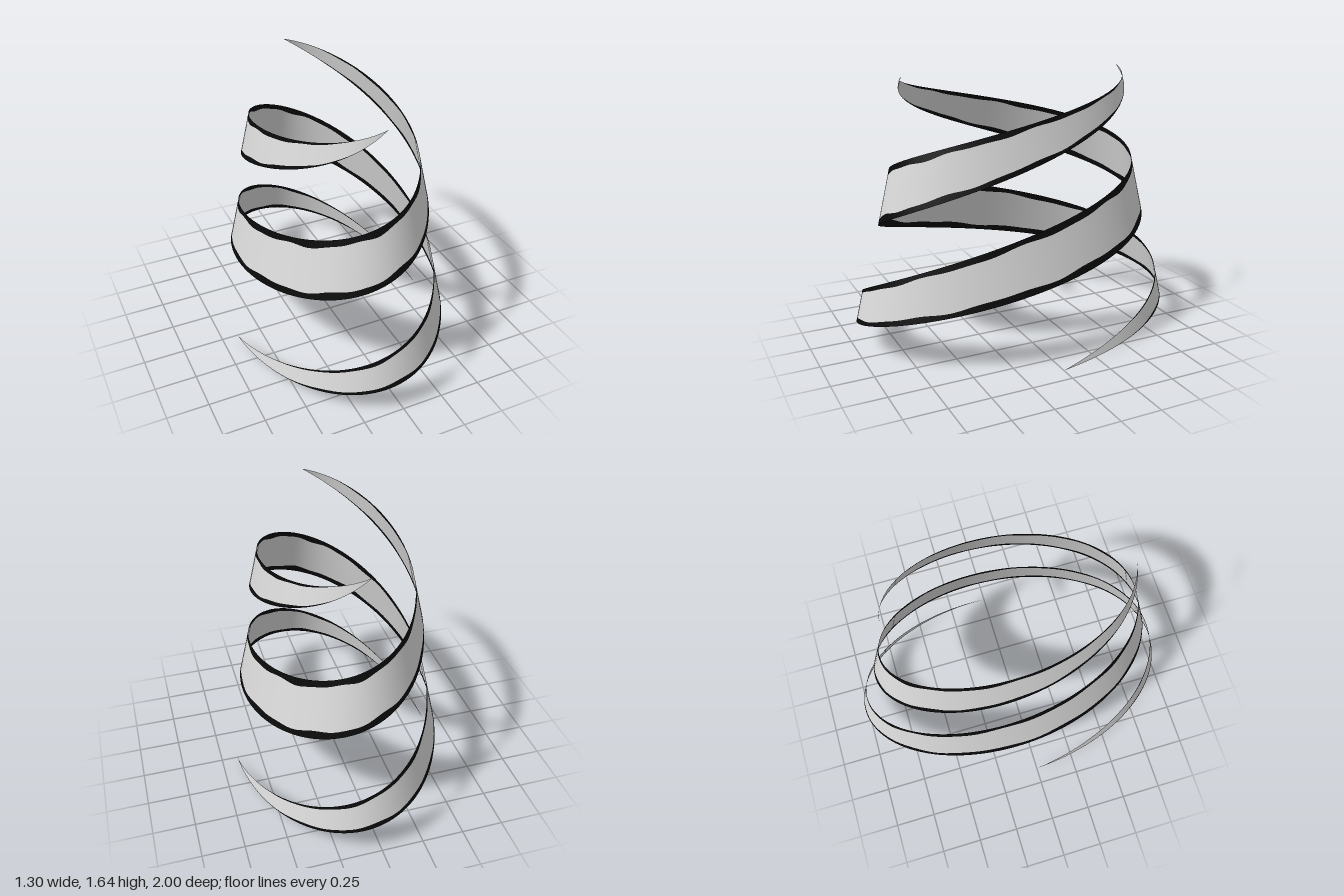
import * as THREE from 'three';

const SEGMENTS = 160;
const QUARTERS = 5; // each ribbon makes one and a quarter turns

const ribbonGrey = new THREE.MeshStandardMaterial({ color: 0xd9d9d9, side: THREE.DoubleSide });
ribbonGrey.name = 'ribbonGrey';
const edgeBlack = new THREE.MeshStandardMaterial({ color: 0x0a0a0a, side: THREE.DoubleSide });
edgeBlack.name = 'edgeBlack';

// Point on the tapering elliptical helix; t runs along the ribbon, v from lower (0) to upper edge (1)
function ribbonPoint(t, v) {
  const q = t * QUARTERS;
  const angle = q * Math.PI / 2;
  const radius = 0.65 - 0.0695 * q + 0.0045 * q * q;
  const rise = (v * 2 - 1) * 0.172 * 4 * t * (1 - t);
  const lean = -0.23 * rise; // the band leans inwards at its top
  return [
    -(radius + lean) * Math.cos(angle),
    1.64 * t + rise,
    (radius * 1.667 + lean) * Math.sin(angle),
  ];
}

// Slightly wavy border width, vanishing at the pointed ends
function border(t, phase) {
  const fade = THREE.MathUtils.smoothstep(Math.min(t, 1 - t), 0.02, 0.14);
  return fade * (0.115 + 0.016 * Math.sin(t * 75 + phase) + 0.01 * Math.sin(t * 137 + phase * 2));
}

// Strip of the ribbon between two edge functions of t
function stripGeometry(lower, upper, rows) {
  const positions = [];
  const index = [];
  for (let i = 0; i <= SEGMENTS; i++) {
    const t = i / SEGMENTS;
    for (let j = 0; j <= rows; j++) {
      positions.push(...ribbonPoint(t, THREE.MathUtils.lerp(lower(t), upper(t), j / rows)));
    }
  }
  const w = rows + 1;
  for (let i = 0; i < SEGMENTS; i++) {
    for (let j = 0; j < rows; j++) {
      const a = i * w + j;
      index.push(a, a + w, a + 1, a + w, a + w + 1, a + 1);
    }
  }
  const geometry = new THREE.BufferGeometry();
  geometry.setAttribute('position', new THREE.Float32BufferAttribute(positions, 3));
  geometry.setIndex(index);
  geometry.computeVertexNormals();
  return geometry;
}

export function createModel() {
  const model = new THREE.Group();
  model.name = 'doubleHelixRibbons';

  const low = (t) => border(t, 0);
  const high = (t) => 1 - border(t, 2);
  const strips = [
    ['lowerEdge', stripGeometry(() => 0, low, 1), edgeBlack],
    ['ribbonFace', stripGeometry(low, high, 3), ribbonGrey],
    ['upperEdge', stripGeometry(high, () => 1, 1), edgeBlack],
  ];

  // Two identical ribbons, half a turn apart
  ['firstRibbon', 'secondRibbon'].forEach((name, k) => {
    const ribbon = new THREE.Group();
    ribbon.name = name;
    for (const [part, geometry, material] of strips) {
      const mesh = new THREE.Mesh(geometry, material);
      mesh.name = part;
      ribbon.add(mesh);
    }
    ribbon.rotation.y = k * Math.PI;
    model.add(ribbon);
  });
  return model;
}
